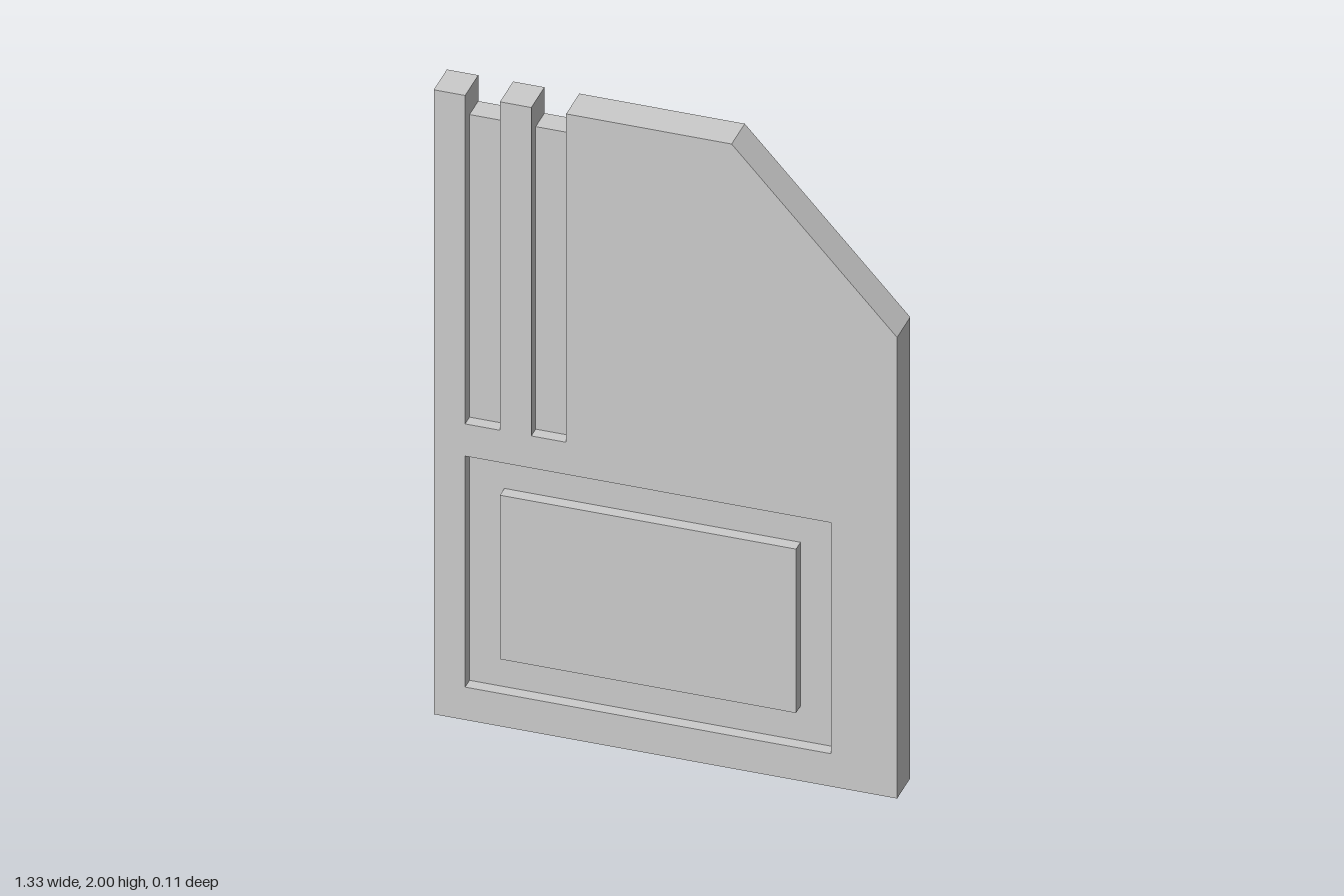
import * as THREE from 'three';

const HALF_W = 0.665, HEIGHT = 2;
const BACK = -0.055, FLOOR = 0.018, FRONT = 0.055;
const SLOTS = [[-0.575, -0.475], [-0.385, -0.285]];

// Slab outline with a cut corner and two slots open at the top, down to slotBottom
function outline(slotBottom) {
  const s = new THREE.Shape();
  s.moveTo(-HALF_W, 0);
  s.lineTo(HALF_W, 0);
  s.lineTo(HALF_W, 1.477);
  s.lineTo(0.19, HEIGHT);
  for (const [left, right] of [...SLOTS].reverse()) {
    s.lineTo(right, HEIGHT);
    s.lineTo(right, slotBottom);
    s.lineTo(left, slotBottom);
    s.lineTo(left, HEIGHT);
  }
  s.lineTo(-HALF_W, HEIGHT);
  s.closePath();
  return s;
}

function rectPath(x0, y0, x1, y1) {
  return new THREE.Path([[x0, y0], [x0, y1], [x1, y1], [x1, y0]].map(([x, y]) => new THREE.Vector2(x, y)));
}

export function createModel() {
  const group = new THREE.Group();
  group.name = 'panel';
  const material = new THREE.MeshStandardMaterial({ color: 0xcccccc });

  const slab = (name, shape, z0, z1) => {
    const geometry = new THREE.ExtrudeGeometry(shape, { depth: z1 - z0, bevelEnabled: false });
    const mesh = new THREE.Mesh(geometry.translate(0, 0, z0), material);
    mesh.name = name;
    group.add(mesh);
  };

  // Back layer, its short notches leave a step at the top of each groove
  slab('backPlate', outline(1.917), BACK, FLOOR);

  // Front layer with long grooves and a rectangular recess
  const face = outline(0.948);
  face.holes.push(rectPath(-0.575, 0.105, 0.475, 0.845));
  slab('frontPlate', face, FLOOR, FRONT);

  // Raised block inside the recess
  const block = new THREE.Mesh(new THREE.BoxGeometry(0.85, 0.525, FRONT - FLOOR), material);
  block.position.set(-0.05, 0.4775, (FLOOR + FRONT) / 2);
  block.name = 'raisedPanel';
  group.add(block);

  return group;
}
